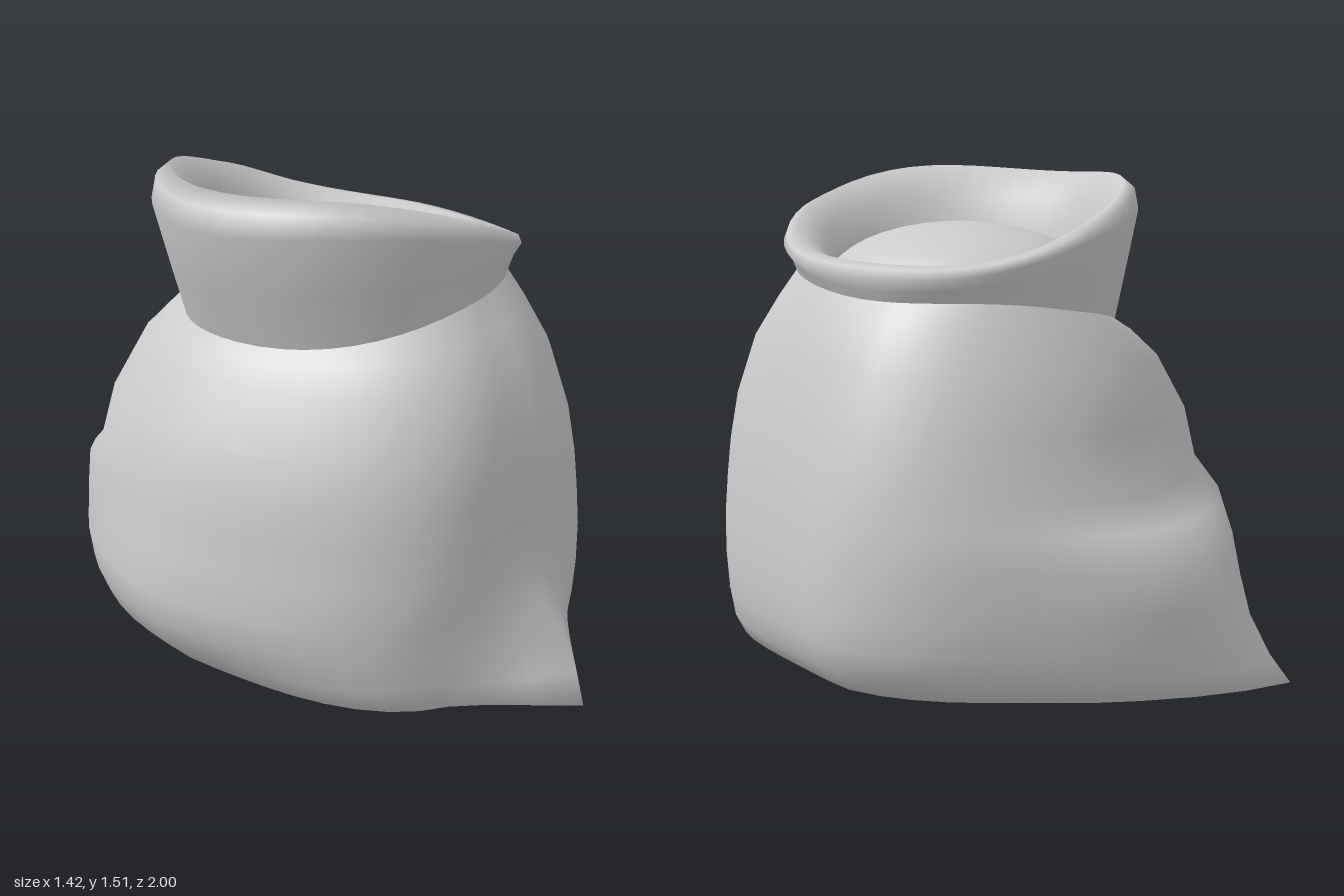
import * as THREE from 'three';

const SEGMENTS = 48;

// Each ring: left, right, back, front reach; then left, right, back, front height;
// then how far the pinched back and front corners stick out.
const bodyRings = [
  [0, 0, 0, 0, 0, 0, 0, 0, 0, 0],
  [0.3, 0.3, 0.45, 0.4, 0.01, 0.015, 0.01, 0.01, 0, 0],
  [0.5, 0.48, 0.76, 0.71, 0.03, 0.025, 0.035, 0.04, 0.18, 0.2],
  [0.58, 0.62, 0.8, 0.75, 0.06, 0.06, 0.05, 0.06, 0.2, 0.25],
  [0.65, 0.675, 0.81, 0.76, 0.13, 0.12, 0.12, 0.13, 0.155, 0.185],
  [0.695, 0.7, 0.82, 0.765, 0.22, 0.2, 0.22, 0.22, 0.09, 0.13],
  [0.71, 0.71, 0.83, 0.77, 0.32, 0.3, 0.32, 0.32, 0.04, 0.065],
  [0.685, 0.7, 0.83, 0.775, 0.45, 0.45, 0.43, 0.43, 0, 0],
  [0.67, 0.685, 0.75, 0.77, 0.56, 0.56, 0.54, 0.56, 0, 0],
  [0.65, 0.665, 0.635, 0.765, 0.67, 0.67, 0.605, 0.68, 0, 0],
  [0.61, 0.63, 0.61, 0.75, 0.79, 0.81, 0.8, 0.82, 0, 0],
  [0.52, 0.57, 0.54, 0.7, 0.96, 0.99, 0.97, 1.0, 0, 0],
  [0.465, 0.505, 0.465, 0.63, 1.02, 1.11, 1.08, 1.11, 0, 0],
  [0.435, 0.455, 0.43, 0.585, 1.05, 1.17, 1.12, 1.19, 0, 0],
];

const collarRings = [
  [0.435, 0.455, 0.43, 0.585, 1.05, 1.17, 1.12, 1.19, 0, 0],
  [0.485, 0.47, 0.455, 0.605, 1.2, 1.2, 1.24, 1.29, 0, 0],
  [0.545, 0.485, 0.48, 0.63, 1.39, 1.235, 1.36, 1.375, 0, 0],
  [0.53, 0.475, 0.47, 0.62, 1.46, 1.265, 1.395, 1.41, 0, 0],
  [0.48, 0.43, 0.44, 0.585, 1.495, 1.275, 1.41, 1.425, 0, 0],
  [0.435, 0.37, 0.38, 0.525, 1.41, 1.255, 1.34, 1.35, 0, 0],
  [0.385, 0.325, 0.34, 0.48, 1.27, 1.225, 1.25, 1.25, 0, 0],
  [0.385, 0.325, 0.34, 0.48, 1.15, 1.15, 1.15, 1.15, 0, 0],
];

// Uneven swelling of the bag: flat flank at the back right, full shoulder at the
// back left, heavy foot at the front left; fades out towards the neck
function slump(angle, height) {
  const right = Math.cos(angle) > 0;
  const upper = THREE.MathUtils.smoothstep(height, 0.5, 0.7);
  const foot = 1 - THREE.MathUtils.smoothstep(height, 0.2, 0.4);
  const diagonal = Math.sin(2 * angle) ** 2;
  const swelling = Math.sin(angle) > 0
    ? Math.sin(4 * angle) * (right ? -0.06 : 0.03) + (right ? 0 : 0.06 * foot * diagonal)
    : diagonal * (right ? -0.12 + 0.08 * upper : 0.1 * upper);
  return 1 + swelling * (1 - height ** 6);
}

// Skins a stack of lopsided rings with smooth normals
function loft(rings, swell = () => 1) {
  const positions = [];
  const indices = [];
  rings.forEach(([l, r, b, f, yl, yr, yb, yf, cornerB, cornerF], i) => {
    for (let j = 0; j < SEGMENTS; j++) {
      const angle = (j / SEGMENTS) * Math.PI * 2;
      const c = Math.cos(angle);
      const s = Math.sin(angle);
      const front = s > 0;
      const size = swell(angle, i / (rings.length - 1));
      const width = front ? 0.34 : c > 0 ? 0.45 : 0.65;
      const pinch = Math.max(0, 1 - Math.abs(c) / width) ** (front ? 1.1 : 1);
      const corner = (front ? cornerF : -cornerB) * pinch;
      const side = c * c;
      positions.push(
        c * (c > 0 ? r : l) * size + corner * (front ? 1.2 - 4 * cornerF : 1),
        side * (c > 0 ? yr : yl) + (1 - side) * ((front ? yf : yb) + 0.6 * c * (yr - yl)),
        s * (front ? f : b) * size + corner,
      );
      if (i === rings.length - 1) continue;
      const a = i * SEGMENTS + j;
      const next = i * SEGMENTS + ((j + 1) % SEGMENTS);
      indices.push(a, a + SEGMENTS, next, next, a + SEGMENTS, next + SEGMENTS);
    }
  });
  const geometry = new THREE.BufferGeometry();
  geometry.setAttribute('position', new THREE.Float32BufferAttribute(positions, 3));
  geometry.setIndex(indices);
  geometry.computeVertexNormals();
  return geometry;
}

export function createModel() {
  const group = new THREE.Group();
  group.name = 'openSack';
  const cloth = new THREE.MeshStandardMaterial({ color: 0xcccccc, side: THREE.DoubleSide });

  const add = (name, geometry) => {
    const mesh = new THREE.Mesh(geometry, cloth);
    mesh.name = name;
    group.add(mesh);
  };

  // Slumped bag with two pinched bottom corners and a fold at the back
  add('sackBody', loft(bodyRings, slump));

  // Flared, tilted opening with its inner wall
  add('sackCollar', loft(collarRings));

  // Heaped filling inside the opening
  const heap = new THREE.SphereGeometry(1, 32, 10, 0, Math.PI * 2, 0, Math.PI / 2);
  heap.scale(0.39, 0.2, 0.44).translate(-0.03, 1.16, 0.065);
  add('filling', heap);

  return group;
}
